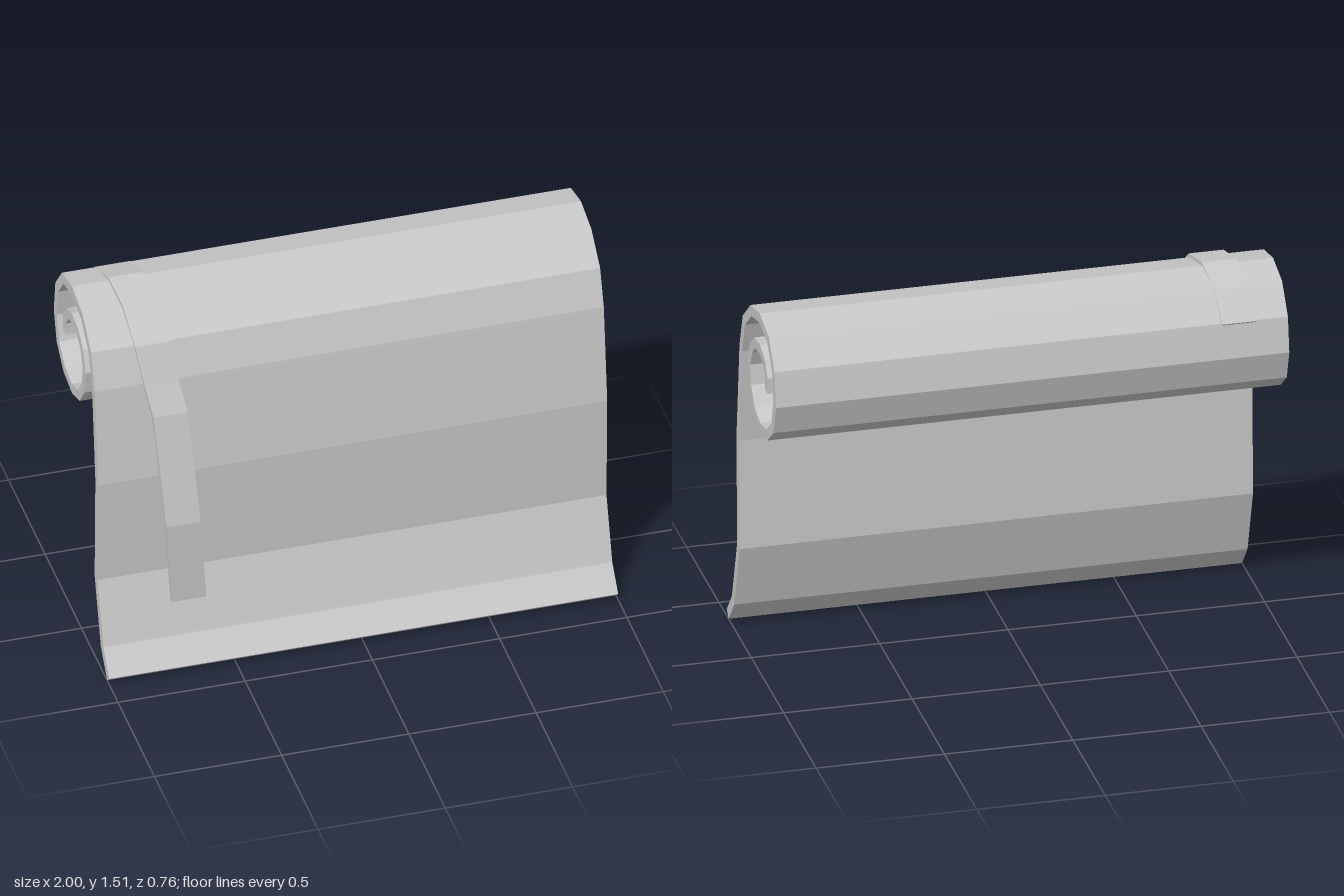
import * as THREE from 'three';

// Sweep a flat band along a path of [z, y, centreX] points, with mitred folds
function makeBand(path, width, thickness, material, name) {
  const unit = (a, b) => new THREE.Vector2(b[0] - a[0], b[1] - a[1]).normalize();
  const rings = path.map((p, i) => {
    const before = unit(path[Math.max(i - 1, 0)], path[Math.max(i, 1)]);
    const last = path.length - 1;
    const after = unit(path[Math.min(i, last - 1)], path[Math.min(i + 1, last)]);
    const t = before.clone().add(after).normalize();
    const h = thickness / 2 / t.dot(after);
    const x = p[2] ?? 0;
    const corner = (sx, s) =>
      [x + sx * width / 2, p[1] - s * h * t.x, p[0] + s * h * t.y];
    return [corner(-1, 1), corner(1, 1), corner(1, -1), corner(-1, -1)];
  });

  const positions = [];
  const quad = (a, b, c, d) => positions.push(...a, ...b, ...c, ...a, ...c, ...d);
  for (let i = 0; i < rings.length - 1; i++) {
    for (let k = 0; k < 4; k++) {
      const n = (k + 1) % 4;
      quad(rings[i][k], rings[i][n], rings[i + 1][n], rings[i + 1][k]);
    }
  }
  quad(...[...rings[0]].reverse());
  quad(...rings[rings.length - 1]);

  // Unshared vertices keep every fold crisp
  const geometry = new THREE.BufferGeometry();
  geometry.setAttribute('position', new THREE.Float32BufferAttribute(positions, 3));
  geometry.computeVertexNormals();
  const mesh = new THREE.Mesh(geometry, material);
  mesh.name = name;
  return mesh;
}

export function createModel() {
  const group = new THREE.Group();
  group.name = 'rolledSheet';
  const grey = new THREE.MeshStandardMaterial({ color: 0xc8c8c8 });
  grey.name = 'light grey';

  // Hanging sheet: flared hem, drop, then a spiral roll behind the top
  const sheetPath = [
    [0.366, 0.014], [0.282, 0.11], [0.2, 0.374], [0.21, 0.82], [0.164, 1.22],
    [0.116, 1.36], [0.004, 1.452], [-0.13, 1.48], [-0.258, 1.45], [-0.34, 1.352],
    [-0.36, 1.222], [-0.324, 1.11], [-0.238, 1.042], [-0.132, 1.024],
    [-0.038, 1.056], [0.022, 1.132], [0.036, 1.222], [0.004, 1.298],
    [-0.052, 1.342], [-0.132, 1.352], [-0.196, 1.328], [-0.232, 1.278],
    [-0.232, 1.22],
  ];
  group.add(makeBand(sheetPath, 2, 0.04, grey, 'sheet'));

  // Loose tie strap: hangs off the front and lies over the roll
  const strapPath = [
    [0.32, 0.3, -0.672], [0.333, 0.66, -0.697], [0.238, 1.104, -0.721],
    [0.189, 1.217, -0.741], [0.135, 1.367, -0.763], [0.015, 1.473, -0.777],
    [-0.128, 1.502, -0.79], [-0.269, 1.455, -0.8], [-0.36, 1.353, -0.81],
  ];
  group.add(makeBand(strapPath, 0.135, 0.023, grey, 'strap'));

  return group;
}
